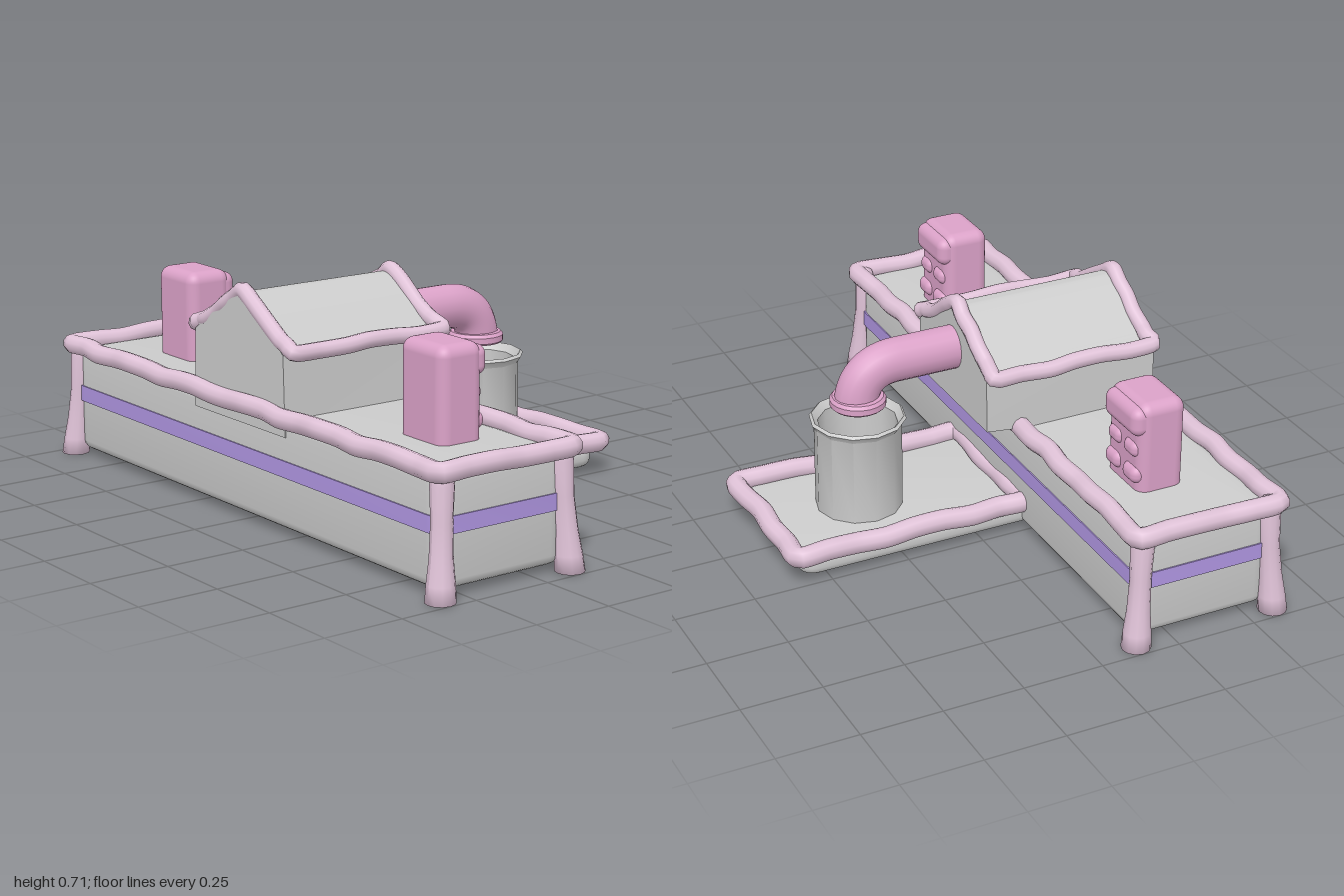
import * as THREE from 'three';
import { RoundedBoxGeometry } from 'three/addons/geometries/RoundedBoxGeometry.js';
import { toCreasedNormals } from 'three/addons/utils/BufferGeometryUtils.js';

const mat = (color) => new THREE.MeshStandardMaterial({ color, side: THREE.DoubleSide });
const V = (x, y, z) => new THREE.Vector3(x, y, z);

export function createModel() {
  const model = new THREE.Group();
  const grey = mat(0xcccccc), trim = mat(0xe0c3d8), pink = mat(0xdba2c8), purple = mat(0xb096e2);

  function add(name, geo, material, x = 0, y = 0, z = 0) {
    const m = new THREE.Mesh(geo, material);
    m.name = name;
    m.position.set(x, y, z);
    model.add(m);
    return m;
  }

  // Horizontal slab with rounded plan corners and bevelled top and bottom edges
  function slab(w, d, r, y0, y1, bevel) {
    const a = w / 2 - bevel, b = d / 2 - bevel;
    const s = new THREE.Shape();
    s.moveTo(-a + r, -b);
    s.lineTo(a - r, -b).quadraticCurveTo(a, -b, a, -b + r);
    s.lineTo(a, b - r).quadraticCurveTo(a, b, a - r, b);
    s.lineTo(-a + r, b).quadraticCurveTo(-a, b, -a, b - r);
    s.lineTo(-a, -b + r).quadraticCurveTo(-a, -b, -a + r, -b);
    const g = new THREE.ExtrudeGeometry(s, {
      depth: y1 - y0 - 2 * bevel, curveSegments: 6, bevelEnabled: bevel > 0,
      bevelSize: bevel, bevelThickness: bevel, bevelSegments: 4,
    });
    g.rotateX(-Math.PI / 2).translate(0, y0 + bevel, 0);
    return toCreasedNormals(g, 0.7);
  }

  // Slightly lumpy, hand-moulded rail running along a closed polyline
  function rail(name, corners, radius) {
    const pts = [];
    corners.forEach((p, i) => {
      const q = corners[(i + 1) % corners.length];
      const n = Math.max(2, Math.round(p.distanceTo(q) / 0.09));
      for (let k = 0; k < n; k++) {
        const v = p.clone().lerp(q, k / n), t = pts.length;
        if (k > 0) v.add(V(Math.sin(t * 2.3), Math.sin(t * 1.7 + 1), Math.sin(t * 2.9 + 2)).multiplyScalar(0.004));
        pts.push(v);
      }
    });
    const curve = new THREE.CatmullRomCurve3(pts, true, 'catmullrom', 0.4);
    return add(name, new THREE.TubeGeometry(curve, pts.length * 5, radius, 10, true), trim);
  }

  // Long main building and the stripe around it
  add('mainBuilding', slab(1.89, 0.45, 0.03, 0.02, 0.35, 0.03), grey, 0, 0, 0.36);
  add('wallStripe', slab(1.898, 0.458, 0.055, 0.18, 0.23, 0), purple, 0, 0, 0.36);
  rail('roofEdgeRail', [
    V(-0.955, 0.36, 0.59), V(0.955, 0.36, 0.59), V(0.955, 0.36, 0.13), V(-0.955, 0.36, 0.13),
  ], 0.031);

  // Corner posts with flared feet
  const postProfile = [[0, 0], [0.044, 0], [0.041, 0.05], [0.034, 0.12], [0.031, 0.22], [0.035, 0.32], [0.022, 0.37], [0, 0.38]]
    .map(([r, y]) => new THREE.Vector2(r, y));
  for (const sx of [-1, 1]) for (const sz of [-1, 1]) {
    const geo = new THREE.LatheGeometry(postProfile, 12);
    const p = geo.attributes.position;
    // lean inwards towards the top
    for (let i = 0; i < p.count; i++) {
      const h = Math.min(p.getY(i), 0.28);
      p.setX(i, p.getX(i) - sx * h * 0.07);
      p.setZ(i, p.getZ(i) - sz * h * 0.07);
    }
    geo.computeVertexNormals();
    add('cornerPost', geo, trim, sx * 0.956, 0, 0.36 + sz * 0.228);
  }

  // Gabled centre house
  const gable = new THREE.Shape();
  gable.moveTo(-0.235, 0.3);
  gable.lineTo(0.235, 0.3).lineTo(0.228, 0.54);
  gable.quadraticCurveTo(0.12, 0.625, 0.03, 0.677).quadraticCurveTo(0, 0.692, -0.03, 0.677);
  gable.quadraticCurveTo(-0.12, 0.625, -0.228, 0.54);
  gable.closePath();
  const houseGeo = new THREE.ExtrudeGeometry(gable, {
    depth: 0.57, curveSegments: 8, bevelEnabled: false,
  });
  // taper the underside of the rear overhang into the main wall
  const hp = houseGeo.attributes.position;
  for (let i = 0; i < hp.count; i++) {
    if (hp.getZ(i) < 0.01 && hp.getY(i) < 0.4) hp.setY(i, 0.365);
  }
  add('centreHouse', toCreasedNormals(houseGeo, 0.6), grey, 0, 0, 0.018);
  const section = [[-0.258, 0.55], [-0.19, 0.575], [-0.09, 0.637], [0, 0.69], [0.09, 0.637], [0.19, 0.575], [0.258, 0.55]];
  rail('houseRoofRail', [
    ...section.map(([x, y]) => V(x, y, 0.568)),
    ...section.slice().reverse().map(([x, y]) => V(x, y, 0.035)),
  ], 0.025);

  // Pair of chimneys with moulded relief on their back faces
  for (const s of [-1, 1]) {
    const x = s * 0.63;
    add('chimney', new RoundedBoxGeometry(0.2, 0.31, 0.15, 4, 0.035), pink, x, 0.475, 0.333);
    add('chimneyBrow', new RoundedBoxGeometry(0.19, 0.09, 0.08, 4, 0.03), pink, x, 0.573, 0.277);
    for (const t of [-1, 1]) {
      add('chimneyUpperLump', new RoundedBoxGeometry(0.07, 0.05, 0.06, 4, 0.022), pink, x + t * 0.045, 0.48, 0.275);
      add('chimneyLowerLump', new RoundedBoxGeometry(0.08, 0.055, 0.07, 4, 0.025), pink, x + t * 0.05, 0.4, 0.277);
    }
  }

  // Low rear platform with its raised rim
  add('rearPlatform', slab(0.49, 0.8, 0.03, 0.02, 0.085, 0.025), grey, 0, 0, -0.19);
  rail('platformRim', [
    V(-0.24, 0.1, 0.15), V(0.24, 0.1, 0.15), V(0.245, 0.1, -0.605), V(-0.245, 0.1, -0.605),
  ], 0.032);

  // Open tank with a flared lip
  const tankProfile = [[0, 0.07], [0.134, 0.07], [0.134, 0.36], [0.148, 0.38], [0.14, 0.388], [0.122, 0.365], [0.122, 0.15], [0, 0.15]]
    .map(([r, y]) => new THREE.Vector2(r, y));
  add('tank', toCreasedNormals(new THREE.LatheGeometry(tankProfile, 12).toNonIndexed(), 0.6), grey, 0, 0, -0.3);
  // Lumpy contents in the tank
  for (let i = 0; i < 9; i++) {
    const a = (i / 9) * Math.PI * 2;
    const m = add('tankContents', new THREE.IcosahedronGeometry(0.034, 1), pink, Math.cos(a) * 0.083, 0.17, -0.3 + Math.sin(a) * 0.083);
    m.rotation.y = i * 1.3;
  }

  // Elbow pipe from the house to above the tank
  const path = new THREE.CurvePath();
  path.add(new THREE.LineCurve3(V(0, 0.545, 0.06), V(0, 0.545, -0.17)));
  path.add(new THREE.CubicBezierCurve3(V(0, 0.545, -0.17), V(0, 0.545, -0.25), V(0, 0.51, -0.295), V(0, 0.435, -0.303)));
  const pipe = add('elbowPipe', new THREE.TubeGeometry(path, 40, 0.069, 16), pink);
  pipe.scale.x = 0.9;
  const flange = [[0, 0], [0.08, 0], [0.086, 0.006], [0.086, 0.024], [0.078, 0.034], [0, 0.034]]
    .map(([r, y]) => new THREE.Vector2(r, y));
  add('pipeFlange', toCreasedNormals(new THREE.LatheGeometry(flange, 20).toNonIndexed(), 0.6), pink, 0, 0.42, -0.298);

  return model;
}
